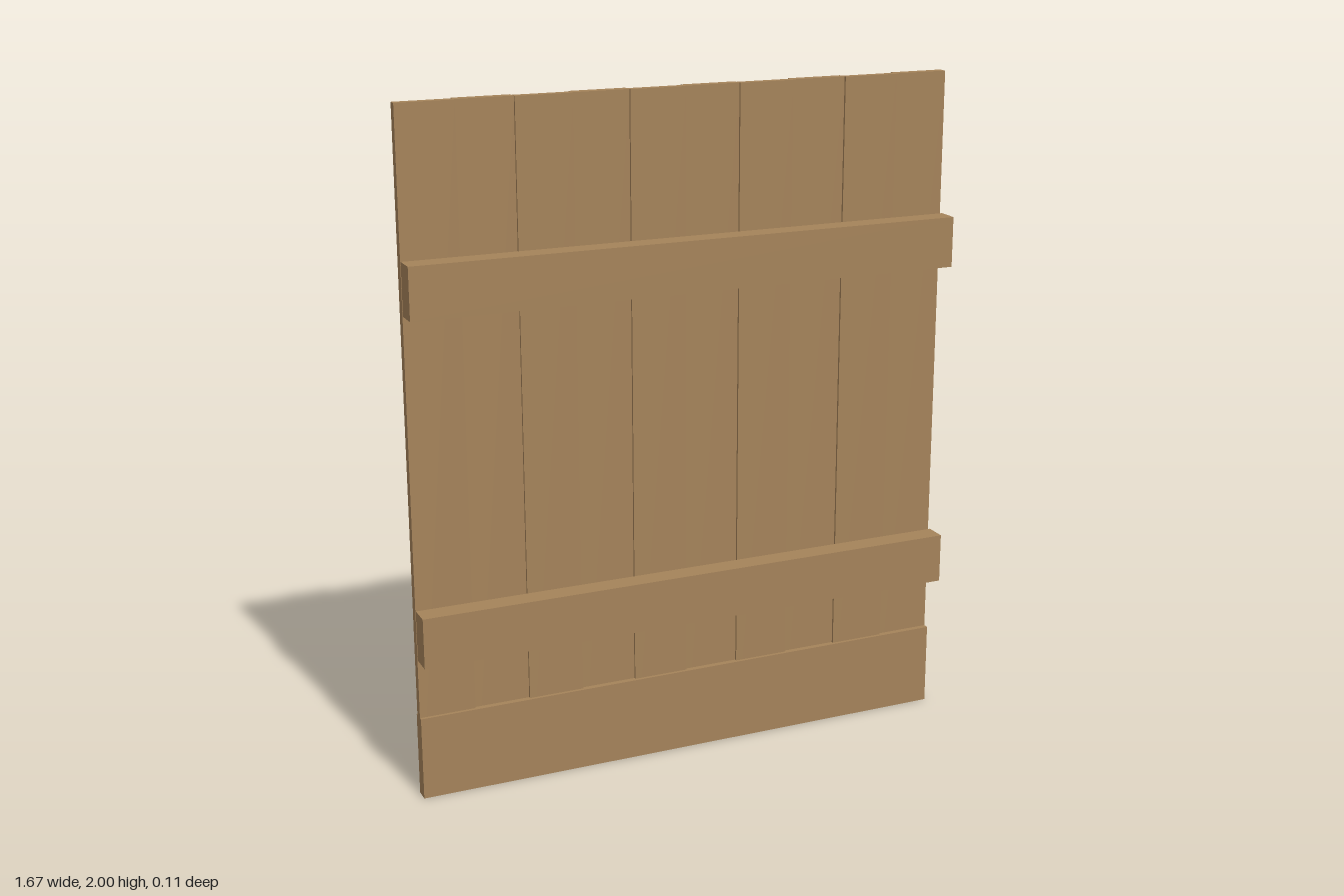
import * as THREE from 'three';

export function createModel() {
  const group = new THREE.Group();
  const wood = new THREE.MeshStandardMaterial({ color: 0xa5835a });
  wood.name = 'wood';

  const WIDTH = 1.666;
  const HEIGHT = 2;

  // Box given by its centre x, width, and y and z ranges
  function board(name, x, width, y0, y1, z0, z1) {
    const mesh = new THREE.Mesh(new THREE.BoxGeometry(width, y1 - y0, z1 - z0), wood);
    mesh.name = name;
    mesh.position.set(x, (y0 + y1) / 2, (z0 + z1) / 2);
    group.add(mesh);
  }

  // Upright planks, alternately proud at the front and proud at the back
  const COUNT = 10;
  const plankWidth = WIDTH / COUNT;
  for (let i = 0; i < COUNT; i++) {
    const x = -WIDTH / 2 + (i + 0.5) * plankWidth;
    if (i % 2 === 0) board('frontPlank', x, plankWidth, 0.01, HEIGHT, -0.042, -0.017);
    else board('backPlank', x, plankWidth, 0, HEIGHT, -0.054, -0.024);
  }

  // Kickboard across the foot, thick enough to show between the back planks
  board('kickboard', 0, WIDTH, 0, 0.25, -0.049, -0.007);

  // Two horizontal battens on the front
  for (const y of [0.43, 1.43]) board('batten', 0, WIDTH, y, y + 0.15, -0.012, 0.054);

  return group;
}
